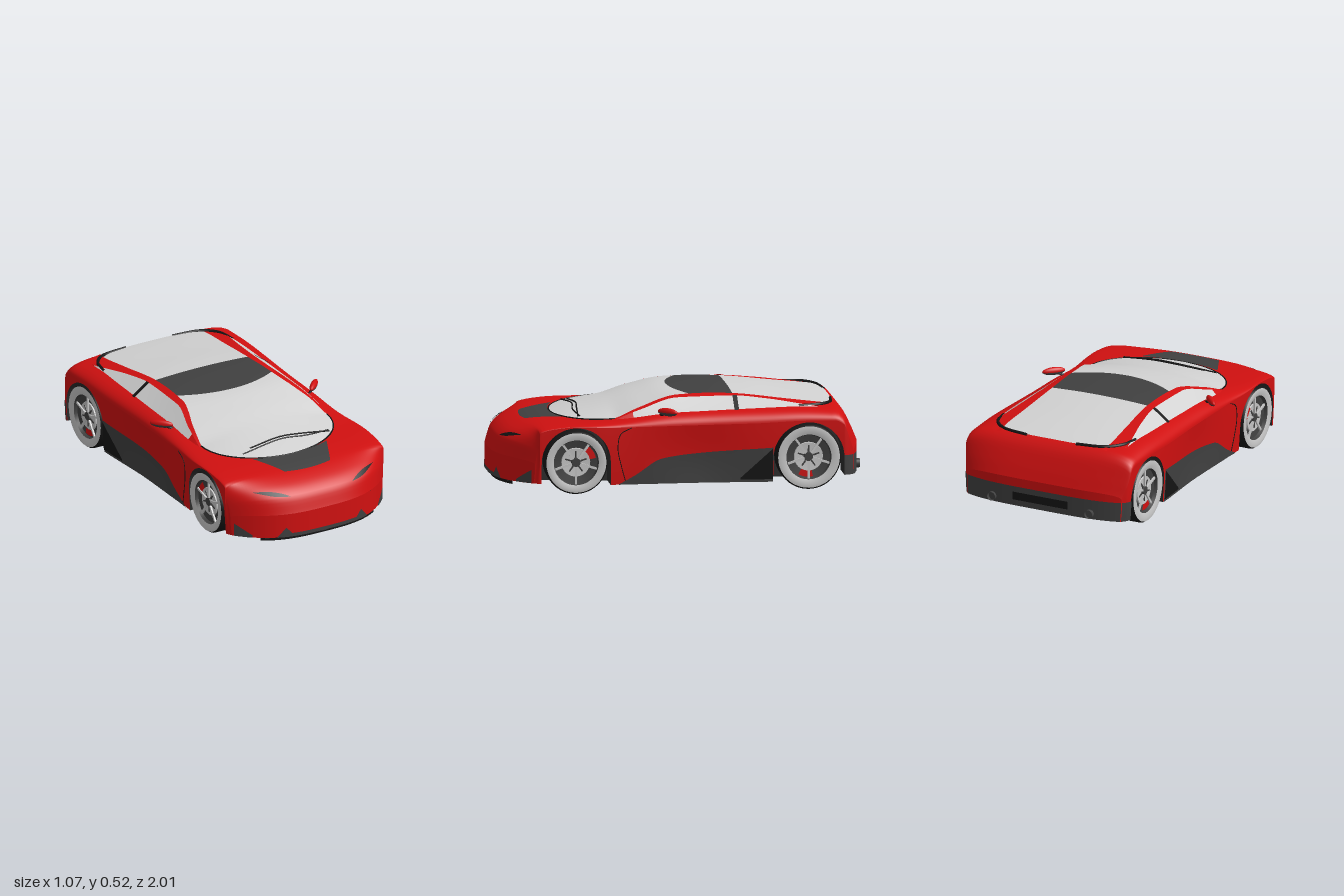
import * as THREE from 'three';
import { toCreasedNormals } from 'three/addons/utils/BufferGeometryUtils.js';

const mat = (name, color) => new THREE.MeshStandardMaterial({ name, color, side: THREE.DoubleSide });
const red = mat('red paint', 0xd01010), glass = mat('pale glass', 0xd2d2d2), trim = mat('dark grey trim', 0x404040),
  under = mat('underbody', 0x2b2b2b), black = mat('black', 0x151515), pale = mat('wheel grey', 0xc6c6c6);

// Smooth monotone curve through [position, value] keys in rising order
function curve(k) {
  const n = k.length, d = [];
  for (let i = 0; i < n - 1; i++) d.push((k[i + 1][1] - k[i][1]) / (k[i + 1][0] - k[i][0]));
  const m = k.map((_, i) => i === 0 ? d[0] : i === n - 1 ? d[n - 2]
    : d[i - 1] * d[i] <= 0 ? 0 : 2 * d[i - 1] * d[i] / (d[i - 1] + d[i]));
  return z => {
    z = Math.min(Math.max(z, k[0][0]), k[n - 1][0]);
    let i = 0;
    while (i < n - 2 && z > k[i + 1][0]) i++;
    const h = k[i + 1][0] - k[i][0], t = (z - k[i][0]) / h, t2 = t * t, t3 = t2 * t;
    return (2 * t3 - 3 * t2 + 1) * k[i][1] + (t3 - 2 * t2 + t) * h * m[i]
      + (3 * t2 - 2 * t3) * k[i + 1][1] + (t3 - t2) * h * m[i + 1];
  };
}
const lerp = THREE.MathUtils.lerp;

// Body: half width, centre height, shoulder height, sill and floor along z
const W = curve([[-1, .475], [-.96, .5], [-.9, .51], [-.6, .51], [-.1, .497], [.25, .497], [.5, .51], [.775, .505], [.9, .5], [1, .485]]);
const yc = curve([[-1, .24], [-.965, .32], [-.91, .415], [-.86, .447], [-.6, .462], [0, .45], [.35, .405], [.5, .392], [.66, .385], [.775, .373], [.89, .34], [.97, .285], [1, .2]]);
const ys = curve([[-1, .21], [-.965, .28], [-.9, .36], [-.85, .383], [-.7, .385], [-.4, .375], [0, .37], [.35, .367], [.575, .376], [.7, .365], [.775, .345], [.89, .285], [.97, .23], [1, .17]]);
const sill = curve([[-1, .08], [-.9, .08], [-.5, .05], [.4, .05], [.76, .065], [1, .065]]);
const floorY = curve([[-1, .16], [-.85, .16], [-.65, .05], [.4, .05], [.76, .06], [1, .06]]);
const bodyTop = (x, z) => ys(z) + (yc(z) - ys(z)) * Math.sqrt(1 - Math.min(1, Math.abs(x) / W(z)) ** 6);
const wallX = (y, z) => {
  const k = THREE.MathUtils.clamp((ys(z) - y) / ys(z), 0, 1);
  return W(z) * (1 - .035 * k * k) - .016 * Math.exp(-(((z + .1) / .25) ** 2)) * Math.sin(Math.PI * k);
};
// Rounds the nose and tail in plan
const place = (x, y, z) => {
  const a = Math.abs(x) / .5;
  return [x, y, z - Math.max(0, (z - .775) / .225) * .22 * a ** 3 + Math.max(0, (-.9 - z) / .1) * .055 * a ** 4];
};

// Wheels and their arches
const wheels = [{ name: 'front', z: .575, r: .173, arch: .19 }, { name: 'rear', z: -.705, r: .178, arch: .195 }];
const archAt = z => wheels.find(w => Math.abs(z - w.z) <= w.arch + 1e-6);
const lowerEdge = z => {
  const w = archAt(z);
  return w ? .18 + Math.sqrt(Math.max(0, w.arch ** 2 - (z - w.z) ** 2)) : sill(z);
};
const stations = [];
for (let i = 0; i <= 80; i++) stations.push(Math.sin(Math.PI / 2 * (i / 40 - 1)));
const wallStations = [...stations];
for (const w of wheels) {
  for (let i = 0; i <= 36; i++) wallStations.push(w.z + w.arch * Math.cos(Math.PI * i / 36));
  wallStations.push(w.z - w.arch - .001, w.z + w.arch + .001);
}
wallStations.sort((a, b) => a - b);

// Greenhouse: panel half width, rail and belt positions along z
const hwKeys = curve([[-.87, .31], [-.8, .322], [-.6, .31], [-.3, .293], [0, .305], [.1, .33], [.2, .365], [.35, .4]]);
const hw = z => z > .35 ? .4 * Math.sqrt(Math.max(0, 1 - ((z - .35) / .31) ** 2)) : hwKeys(z);
const yr = curve([[-.87, .452], [-.85, .456], [-.6, .488], [-.39, .513], [-.18, .526], [.04, .521], [.2, .495], [.35, .457], [.46, .432], [.575, .408], [.66, .388]]);
const yeKeys = curve([[-.87, .447], [-.6, .478], [-.3, .511], [-.15, .516], [0, .511], [.2, .46], [.35, .401]]);
const ye = z => z > .35 ? bodyTop(hw(z), z) + .002 : yeKeys(z);
const ro = curve([[-.87, .4], [-.76, .412], [-.65, .39], [-.5, .36], [-.3, .336], [0, .343], [.2, .39], [.35, .412]]);
const yo = curve([[-.87, .43], [-.76, .448], [-.65, .465], [-.5, .487], [-.3, .505], [0, .502], [.2, .45], [.35, .398]]);
const xb = curve([[-.87, .405], [-.76, .416], [-.5, .427], [0, .43], [.2, .428], [.35, .418]]);
const glassY = (x, z) => yr(z) - (yr(z) - ye(z)) * Math.min(1, Math.abs(x) / (hw(z) || 1)) ** 2;
const panel = (u, z) => [u * hw(z), glassY(u * hw(z), z), z];

export function createModel() {
  const car = new THREE.Group();
  car.name = 'sportsCar';
  const add = (name, geo, material, parent = car) => {
    const mesh = new THREE.Mesh(geo, material);
    mesh.name = name;
    parent.add(mesh);
    return mesh;
  };
  // Surface from a rule fn(u, v), with u and v running 0 to 1
  const sheet = (name, material, nu, nv, fn, creased = false) => {
    const pos = [], idx = [];
    for (let i = 0; i <= nu; i++) for (let j = 0; j <= nv; j++) pos.push(...fn(i / nu, j / nv));
    for (let i = 0; i < nu; i++) for (let j = 0; j < nv; j++) {
      const a = i * (nv + 1) + j, b = a + nv + 1;
      idx.push(a, b, a + 1, b, b + 1, a + 1);
    }
    let geo = new THREE.BufferGeometry();
    geo.setAttribute('position', new THREE.Float32BufferAttribute(pos, 3));
    geo.setIndex(idx);
    geo.computeVertexNormals();
    if (creased) geo = toCreasedNormals(geo, .6);
    return add(name, geo, material);
  };
  const tube = (name, material, pts, r, n = 32) => add(name, new THREE.TubeGeometry(
    new THREE.CatmullRomCurve3(pts.map(p => new THREE.Vector3(...p))), n, r, 6), material);
  const at = (list, u) => list[Math.round(u * (list.length - 1))];
  const across = u => Math.sin(Math.PI * (u - .5));

  // Bonnet, shoulders and tail deck
  sheet('upperBody', red, 80, 56, (u, v) => {
    const z = at(stations, u), x = across(v) * W(z);
    return place(x, bodyTop(x, z), z);
  });
  // Nose and tail faces
  const cap = (name, material, z, low, high) => sheet(name, material, 48, 8, (u, v) => {
    const t = across(u), y = lerp(low, high ?? bodyTop(t * W(z), z), v);
    return place(t * wallX(y, z), y, z);
  });
  cap('noseFace', red, 1, .065);
  cap('tailFace', red, -1, .19);
  cap('rearBumper', trim, -1, .08, .19);
  const onCap = (x, y, end) => { const p = place(x, y, end); p[2] += end * .005; return p; };
  sheet('frontSplitter', trim, 24, 1, (u, v) => onCap(lerp(-.21, .21, u), lerp(.066, .086, v), 1));
  sheet('frontLip', black, 32, 1, (u, v) => place(lerp(-.36, .36, u), lerp(.045, .066, v), .985));
  sheet('rearSlot', black, 24, 1, (u, v) => onCap(lerp(-.17, .17, u), lerp(.115, .16, v), -1));

  // Bonnet insert
  sheet('bonnetInsert', trim, 24, 12, (u, v) => {
    const t = 2 * u - 1, x = t * lerp(.235, .145, v);
    const z = lerp(.665 - .045 * t * t, .825 - .015 * t * t, v);
    return place(x, bodyTop(x, z) + .004, z);
  });

  // Glass and roof, in one continuous surface
  const screenTop = t => .02 - .09 * t * t;
  sheet('windscreen', glass, 32, 36, (u, v) => {
    const t = 2 * u - 1;
    return panel(t, .66 - (.66 - screenTop(t)) * v * v);
  });
  sheet('roofPanel', trim, 32, 12, (u, v) => panel(2 * u - 1, lerp(screenTop(2 * u - 1), -.31, v)));
  sheet('rearWindow', glass, 32, 20, (u, v) => panel(2 * u - 1, lerp(-.31, -.87 + .05 * (2 * u - 1) ** 4, v)));
  const rim = [];
  for (let i = 0; i <= 24; i++) {
    const a = Math.PI * (i / 24 - .5), z = .35 + .31 * Math.cos(a), x = .4 * Math.sin(a);
    rim.push([x, bodyTop(x, z) + .002, z]);
  }
  tube('windscreenSeal', black, rim, .004, 64);

  // Wipers
  const onGlass = (x, z) => [x, glassY(x, z) + .008, z];
  tube('longWiper', black, [[.3, .53], [.15, .55], [0, .535], [-.26, .56]].map(p => onGlass(...p)), .004);
  tube('shortWiper', black, [[.3, .54], [.12, .525], [0, .515], [-.2, .535]].map(p => onGlass(...p)), .004);

  for (const s of [1, -1]) {
    const side = s > 0 ? 'left' : 'right';
    const flip = p => [s * p[0], p[1], p[2]];
    const n = wallStations.length - 1;

    // Flank with wheel arches along its lower edge
    sheet(side + 'Flank', red, n, 10, (u, v) => {
      const z = at(wallStations, u), y = lerp(lowerEdge(z), ys(z), v);
      return flip(place(wallX(y, z), y, z));
    });
    // Floor and arch liners
    sheet(side + 'Underbody', under, n, 3, (u, v) => {
      const z = at(wallStations, u), y = lowerEdge(z), j = Math.round(v * 3);
      return flip(place([wallX(y, z), .34, .34, 0][j], j < 2 ? y : floorY(z), z));
    }, true);

    // Dark flank panel, air intake and bumper corners
    const onWall = (y, z, off) => flip(place(wallX(y, z) + off, y, z));
    const panelTop = curve([[-.508, .24], [-.1, .215], [.1, .19], [.25, .1], [.34, .052]]);
    sheet(side + 'SillPanel', trim, 40, 8, (u, v) => {
      const z = lerp(-.508, .34, u);
      return onWall(lerp(sill(z), panelTop(z), v), z, .005);
    });
    sheet(side + 'AirIntake', black, 10, 6, (u, v) => {
      const z = lerp(-.506, -.33, u);
      return onWall(lerp(.065, lerp(.235, .075, u), v), z, .009);
    });
    sheet(side + 'BumperReturn', trim, 10, 4, (u, v) => {
      const z = lerp(-.902, -1, u);
      return onWall(lerp(.08, .19, v), z, .004);
    });
    sheet(side + 'NoseCorner', trim, 10, 3, (u, v) => flip(onCap(lerp(.4, .474, u), lerp(.066, .08 + .06 * u, v), 1)));
    sheet(side + 'NoseIntake', trim, 8, 2, (u, v) =>
      flip(onCap(lerp(.19, .285, u), lerp(.066, .07 + .052 * (1 - Math.abs(2 * u - 1)), v), 1)));

    // Headlight slit and door seam
    sheet(side + 'Headlight', black, 20, 4, (u, v) => {
      const x = lerp(.195, .385, u), z = lerp(.967, .925, u) + .024 * (v - .5) * Math.sin(Math.PI * u);
      const p = place(x, bodyTop(x, z) + .004, z);
      p[2] += .004;
      return flip(p);
    });
    tube(side + 'DoorSeam', black, [[.364, .27], [.33, .33], [.25, .345], [.15, .325], [.06, .3]]
      .map(([y, z]) => onWall(y, z, .001)), .0025);

    // Roof rail, side window and pillars
    sheet(side + 'RoofRail', red, 40, 2, (u, v) => {
      const z = lerp(-.87, .35, u);
      return flip([lerp(hw(z), ro(z), v), lerp(ye(z), yo(z), v), z]);
    });
    const sideSheet = (name, material, z0, z1, off = 0) => sheet(side + name, material, 30, 4, (u, v) => {
      const z = lerp(z0, z1, u), base = bodyTop(xb(z), z) - .003;
      return flip([lerp(ro(z), xb(z), v) + off, lerp(Math.max(yo(z), base), base, v) + off, z]);
    });
    sideSheet('FrontPillar', red, .25, .35);
    sideSheet('SideWindow', glass, -.76, .25);
    sideSheet('RearPillar', red, -.87, -.76);
    sideSheet('MiddlePillar', black, -.33, -.305, .003);
    tube(side + 'TailSlit', black, [[.407, .451, -.66], [.385, .454, -.77], [.31, .452, -.84], [.15, .449, -.868]].map(flip), .009);

    // Mirror with dark underside and stalk
    const mirror = new THREE.Group();
    mirror.name = side + 'Mirror';
    mirror.position.set(s * .485, .445, .07);
    mirror.rotation.y = s * .8;
    mirror.scale.set(.066, .022, .018);
    add('mirrorCap', new THREE.SphereGeometry(1, 24, 10, 0, Math.PI * 2, 0, Math.PI * .55), red, mirror);
    add('mirrorBase', new THREE.SphereGeometry(1, 24, 8, 0, Math.PI * 2, Math.PI * .55, Math.PI * .45), trim, mirror);
    car.add(mirror);
    tube(side + 'MirrorStalk', black, [[.41, .415, .11], [.44, .42, .1], [.47, .435, .08]].map(flip), .007, 8);

    // Exhaust
    const pipe = add(side + 'Exhaust', new THREE.CylinderGeometry(.025, .025, .1, 20, 1, true), trim);
    pipe.rotation.x = Math.PI / 2;
    pipe.position.set(s * .3, .11, -.96);

    // Wheels
    for (const { name, z, r } of wheels) {
      const wheel = new THREE.Group();
      wheel.name = side + name + 'Wheel';
      wheel.position.set(s * .447, .005 + r, z);
      wheel.rotation.z = -s * Math.PI / 2;
      const lathe = (part, pts, m) => add(part, toCreasedNormals(
        new THREE.LatheGeometry(pts.map(p => new THREE.Vector2(...p)), 48), .6), m, wheel);
      lathe('tread', [[r - .008, -.06], [r, -.048], [r, .048], [r - .008, .06]], black);
      for (const f of [1, -1]) lathe('sidewall', [[r - .008, f * .06], [.15, f * .063], [.124, f * .055]], pale);
      lathe('rimBarrel', [[.124, .055], [.118, .036], [.08, .03]], trim);
      lathe('rimDisc', [[.08, .03], [.078, .038], [.03, .034], [0, .034]], pale);
      lathe('innerRim', [[.124, -.055], [.11, -.02], [0, -.02]], pale);
      lathe('hub', [[.026, .034], [.024, .046], [0, .046]], trim);
      for (let i = 0; i < 5; i++) {
        const arm = new THREE.Group();
        arm.rotation.y = i * Math.PI * 2 / 5;
        add('spoke', new THREE.BoxGeometry(.1, .01, .012).translate(.07, .04, 0), pale, arm);
        add('spokeGap', new THREE.BoxGeometry(.035, .006, .008).rotateY(Math.PI / 5)
          .translate(.036, .037, -.026), trim, arm);
        wheel.add(arm);
      }
      car.add(wheel);
      // Brake caliper
      const caliper = add(side + name + 'Caliper', new THREE.RingGeometry(.078, .112, 12, 1, name === 'front' ? .2 : -2.1, .75), red);
      caliper.rotation.y = Math.PI / 2;
      caliper.position.set(s * .486, .005 + r, z);
    }
  }
  return car;
}
